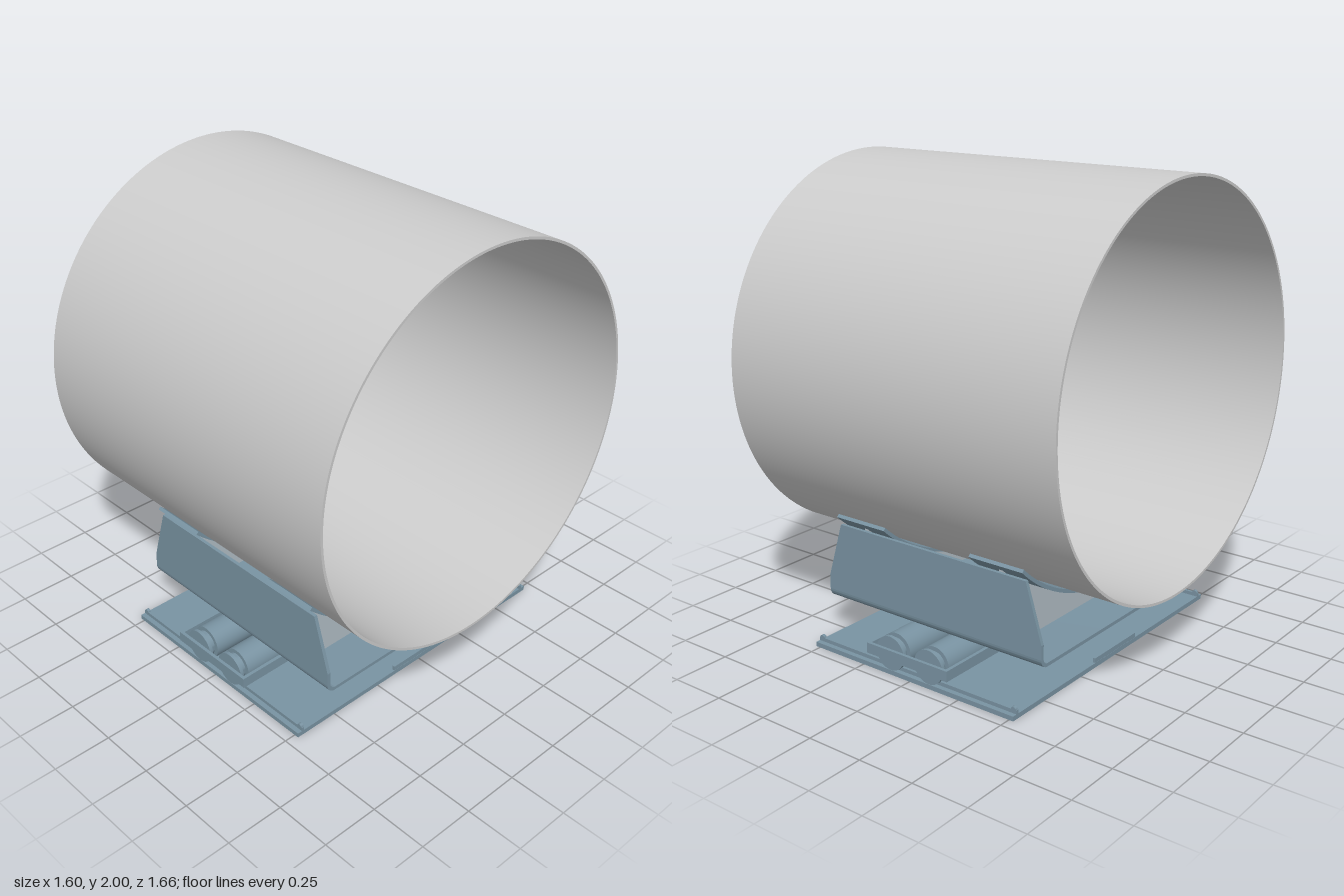
import * as THREE from 'three';
import { toCreasedNormals } from 'three/addons/utils/BufferGeometryUtils.js';

const PIPE_Y = 1.17;
const grey = new THREE.MeshStandardMaterial({ color: 0xcccccc });
const steel = new THREE.MeshStandardMaterial({ color: 0x7993a2 });
const pale = new THREE.MeshStandardMaterial({ color: 0xb0bcc4 });

function add(parent, name, geometry, material, x = 0, y = 0, z = 0) {
  const mesh = new THREE.Mesh(geometry, material);
  mesh.name = name;
  mesh.position.set(x, y, z);
  parent.add(mesh);
  return mesh;
}

function box(parent, name, w, h, d, x, y, z) {
  return add(parent, name, new THREE.BoxGeometry(w, h, d), steel, x, y, z);
}

// Extrudes a (z, y) section along x, centred on x = 0
function alongX(shape, length, curveSegments = 32) {
  const g = new THREE.ExtrudeGeometry(shape, { depth: length, bevelEnabled: false, curveSegments });
  g.translate(0, 0, -length / 2).rotateY(Math.PI / 2);
  return toCreasedNormals(g, 0.5);
}

function shapeFrom(points) {
  return new THREE.Shape(points.map(([x, y]) => new THREE.Vector2(x, y)));
}

function createPipe(model) {
  const ring = new THREE.Shape().absarc(0, 0, 0.83, 0, Math.PI * 2);
  ring.holes.push(new THREE.Path().absarc(0, 0, 0.819, 0, Math.PI * 2, true));
  add(model, 'pipe', alongX(ring, 1.6, 128), grey, 0, PIPE_Y, 0);
}

function createCradle(model) {
  const cradle = new THREE.Group();
  cradle.name = 'cradle';
  model.add(cradle);

  // Floor with rounded bends into the side walls
  const r = 0.04, t = 0.015, zo = 0.57, y0 = 0.17;
  const floor = new THREE.Shape();
  floor.moveTo(-zo, y0 + r);
  floor.absarc(-zo + r, y0 + r, r, Math.PI, Math.PI * 1.5);
  floor.absarc(zo - r, y0 + r, r, Math.PI * 1.5, Math.PI * 2);
  floor.lineTo(zo - t, y0 + r);
  floor.absarc(zo - r, y0 + r, r - t, 0, -Math.PI / 2, true);
  floor.absarc(-zo + r, y0 + r, r - t, -Math.PI / 2, -Math.PI, true);
  add(cradle, 'cradleFloor', alongX(floor, 1.11, 8), steel);

  // Tapered side walls
  const wall = shapeFrom([[-0.555, y0 + r], [0.555, y0 + r], [0.555, 0.27],
    [0.48, 0.515], [-0.48, 0.515], [-0.555, 0.27]]);
  const wallGeo = new THREE.ExtrudeGeometry(wall, { depth: t, bevelEnabled: false });
  add(cradle, 'frontWall', wallGeo, steel, 0, 0, zo - t);
  add(cradle, 'backWall', wallGeo, steel, 0, 0, -zo);

  // Curved pads under the pipe
  const a = 0.765, mid = -Math.PI / 2;
  const pad = new THREE.Shape();
  pad.absarc(0, 0, 0.853, mid - a, mid + a);
  pad.absarc(0, 0, 0.838, mid + a, mid - a, true);
  const padGeo = alongX(pad, 0.26, 40);

  // Cross webs with a scooped top edge and clipped lower corners
  const web = new THREE.Shape();
  const zi = 0.555, wa = Math.asin(zi / 0.853);
  web.moveTo(-zi + 0.03, 0.185);
  web.lineTo(zi - 0.03, 0.185);
  web.lineTo(zi, 0.215);
  web.absarc(0, PIPE_Y, 0.853, mid + wa, mid - wa, true);
  web.lineTo(-zi, 0.215);
  const webGeo = alongX(web, 0.016, 40);

  for (const s of [-1, 1]) {
    add(cradle, 'saddlePad', padGeo, steel, s * 0.35, PIPE_Y, 0);
    add(cradle, 'crossWeb', webGeo, pale, s * 0.35, 0, 0);
  }
}

function createRollers(model) {
  const carriage = new THREE.Group();
  carriage.name = 'rollerCarriage';
  model.add(carriage);

  // Rollers with a guide groove near each end
  const half = [[0.073, 0.66], [0.055, 0.66], [0.055, 0.685], [0.073, 0.685], [0.073, 0.7], [0, 0.7]];
  const profile = [...half.map(([x, y]) => [x, -y]).reverse(), ...half]
    .map(([x, y]) => new THREE.Vector2(x, y));
  const rollerGeo = toCreasedNormals(new THREE.LatheGeometry(profile, 40).rotateX(Math.PI / 2).toNonIndexed(), 0.5);
  const axleGeo = new THREE.CylinderGeometry(0.018, 0.018, 1.43, 20).rotateX(Math.PI / 2);

  // Frame around the rollers
  for (const s of [-1, 1]) {
    add(carriage, 'roller', rollerGeo, steel, s * 0.1, 0.094, 0);
    add(carriage, 'axle', axleGeo, steel, s * 0.1, 0.094, 0);
    box(carriage, 'frameSide', 0.015, 0.045, 1.43, s * 0.2025, 0.094, 0);
    box(carriage, 'frameEnd', 0.42, 0.045, 0.014, 0, 0.094, s * 0.711);
  }
}

function createBase(model) {
  const base = new THREE.Group();
  base.name = 'base';
  model.add(base);
  box(base, 'basePlate', 1.04, 0.02, 1.4, 0, 0.01, 0);
  const bump = new THREE.CylinderGeometry(0.011, 0.011, 0.014, 16).rotateX(Math.PI / 2);
  for (const s of [-1, 1]) {
    // Guide rails running in the roller grooves, with end stops
    box(base, 'guideRail', 1.04, 0.016, 0.012, 0, 0.028, s * 0.6725);
    for (const e of [-1, 1]) add(base, 'railStop', bump, steel, e * 0.505, 0.036, s * 0.6725);
    box(base, 'edgeStop', 0.012, 0.02, 0.3, s * 0.513, 0.03, 0);
  }
}

export function createModel() {
  const model = new THREE.Group();
  model.name = 'rollerPipeSupport';
  createPipe(model);
  createCradle(model);
  createRollers(model);
  createBase(model);
  return model;
}
